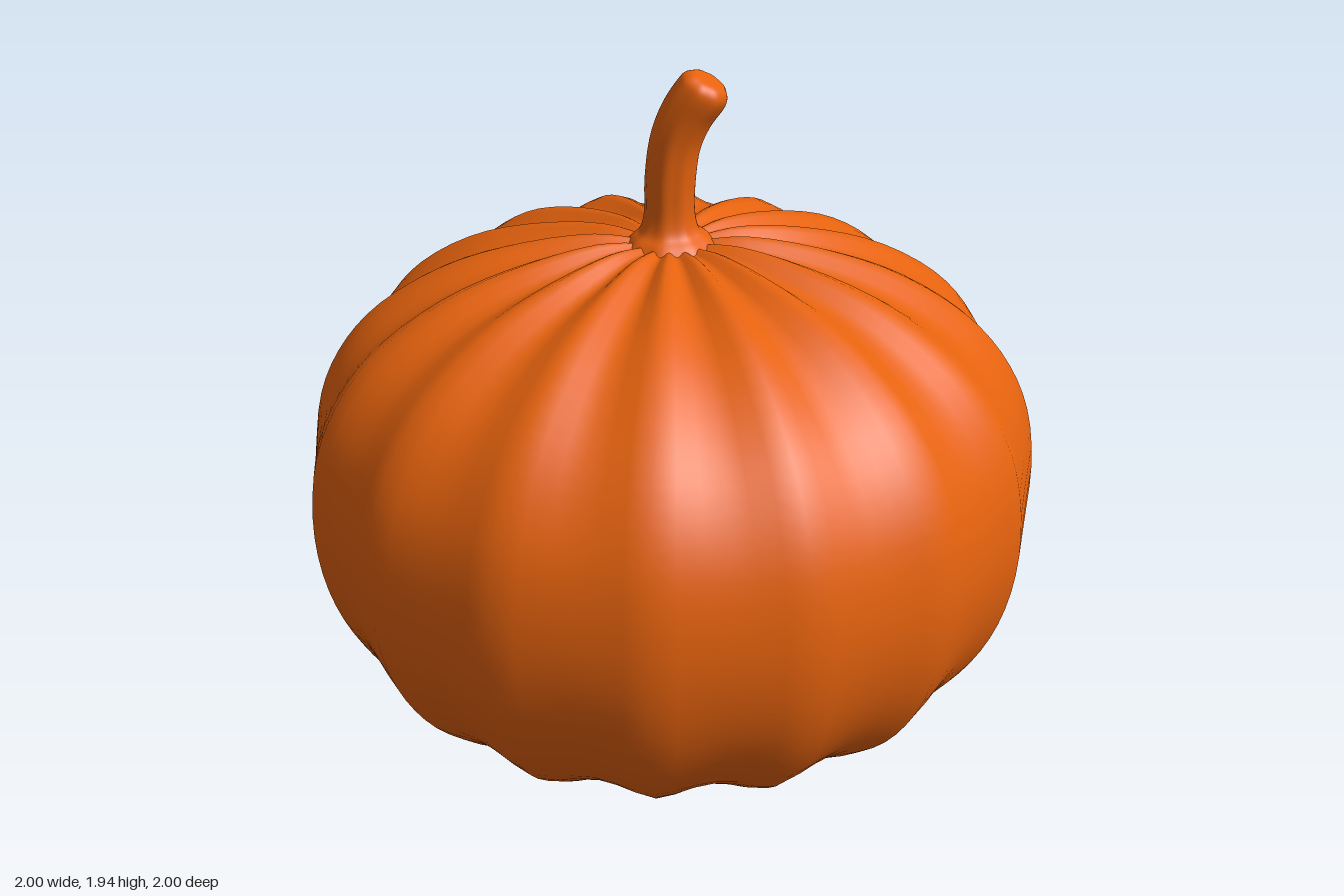
import * as THREE from 'three';

const PANELS = 16;
const PANEL = (Math.PI * 2) / PANELS;

// Smooth closed skin over rows of points; pointAt(row, angle) runs bottom to top.
function loft(rows, sides, pointAt) {
  const positions = [];
  const index = [];
  for (let i = 0; i < rows; i++) {
    for (let j = 0; j < sides; j++) {
      const p = pointAt(i, (j / sides) * Math.PI * 2);
      positions.push(p.x, p.y, p.z);
      if (i === rows - 1) continue;
      const a = i * sides + j;
      const b = i * sides + ((j + 1) % sides);
      index.push(a, b, a + sides, b, b + sides, a + sides);
    }
  }
  const geometry = new THREE.BufferGeometry();
  geometry.setAttribute('position', new THREE.Float32BufferAttribute(positions, 3));
  geometry.setIndex(index);
  geometry.computeVertexNormals();
  return geometry;
}

const spline = (points) =>
  new THREE.CatmullRomCurve3(points.map(([x, y, z = 0]) => new THREE.Vector3(x, y, z)), false, 'centripetal');

// Body: sixteen flat panels at the waist that sink into grooves towards both poles.
function bodyGeometry() {
  const profile = spline([
    [0, 0.03], [0.08, 0.015], [0.2, 0], [0.41, 0.03], [0.62, 0.115], [0.82, 0.26], [0.93, 0.41],
    [0.995, 0.58], [1.018, 0.78], [0.99, 0.99], [0.92, 1.14], [0.81, 1.265], [0.62, 1.385],
    [0.41, 1.455], [0.2, 1.487], [0.08, 1.475], [0, 1.465],
  ]);
  const rows = 56;
  return loft(rows, PANELS * 6, (i, angle) => {
    const u = i / (rows - 1);
    const p = profile.getPoint(u);
    const t = profile.getTangent(u);
    // Angle measured from the middle of the panel
    const off = angle - Math.round(angle / PANEL) * PANEL;
    const flat = Math.cos(PANEL / 2) / Math.cos(off);
    const valley = 0.5 + 0.5 * Math.cos((off / PANEL) * Math.PI * 2);
    const depth = 0.035 * valley * Math.pow(Math.abs(t.x), 1.4) * Math.min(1, p.x / 0.3);
    const r = Math.max(0, p.x * flat - depth * t.y);
    const y = p.y + depth * t.x;
    return new THREE.Vector3(r * Math.sin(angle), y, r * Math.cos(angle));
  });
}

// Stem: ribbed rings that flare at the foot, lean to +x and close in a rounded tip.
function stemGeometry() {
  // Centre x, centre y, radius
  const path = spline([
    [0, 1.45, 0.13], [0, 1.482, 0.105], [-0.003, 1.505, 0.08], [-0.004, 1.55, 0.068],
    [-0.003, 1.64, 0.067], [0.012, 1.75, 0.067], [0.042, 1.825, 0.068], [0.082, 1.886, 0.068],
    [0.092, 1.905, 0.062], [0.099, 1.918, 0.045], [0.1, 1.921, 0],
  ]);
  const rows = 44;
  return loft(rows, 48, (i, angle) => {
    const c = path.getPoint(i / (rows - 1));
    const tilt = 0.5 * THREE.MathUtils.smoothstep(c.y, 1.6, 1.9);
    const r = Math.max(0, c.z) * (1 + 0.025 * Math.cos(angle * 8));
    const side = r * Math.sin(angle);
    return new THREE.Vector3(c.x + side * Math.cos(tilt), c.y - side * Math.sin(tilt), r * Math.cos(angle));
  });
}

export function createModel() {
  const group = new THREE.Group();
  group.name = 'pumpkin';
  const orange = new THREE.MeshStandardMaterial({ color: 0xe5620e });

  const body = new THREE.Mesh(bodyGeometry(), orange);
  body.name = 'body';
  const stem = new THREE.Mesh(stemGeometry(), orange);
  stem.name = 'stem';

  group.add(body, stem);
  return group;
}
